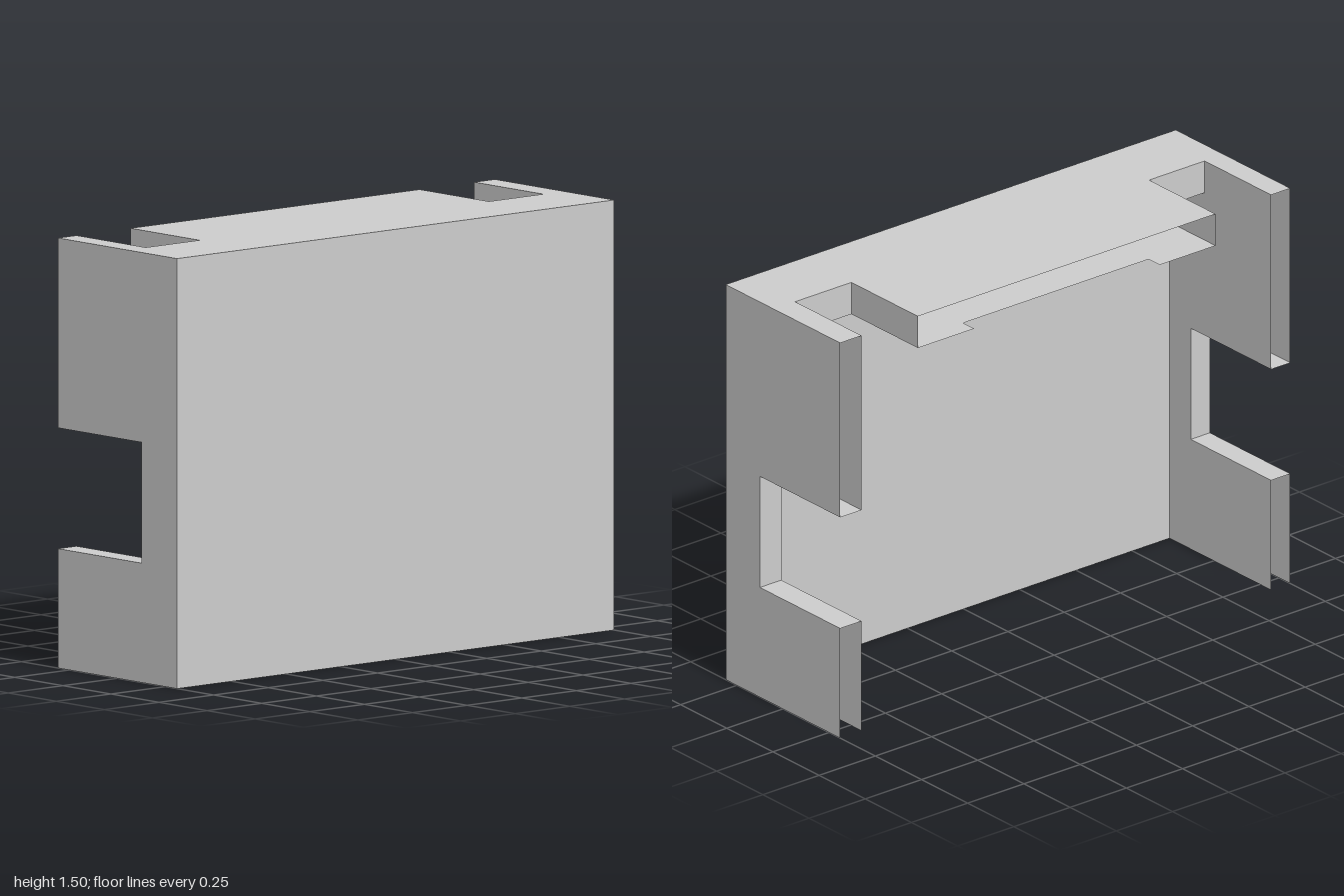
import * as THREE from 'three';

const material = new THREE.MeshStandardMaterial({
  color: 0xcccccc, flatShading: true, side: THREE.DoubleSide,
});

// Overall size, wall planes and cut-outs
const H = 1.495, CEILING = 1.375;
const FRONT = 0.31, BACK = -0.31, INNER_FRONT = 0.24;
const SLOT_Z = 0.05;                                  // depth of the top slots
const NOTCH_Z = 0.125, NOTCH_LOW = 0.415, NOTCH_HIGH = 0.835;
const sides = [
  { name: 'left', outer: 1, inner: 0.905, tongue: 0.655 },
  { name: 'right', outer: -1, inner: -0.915, tongue: -0.668 },
];
const [L, R] = sides;

// Ways to lay a flat outline (u, v) in space at offset w
const onX = (u, v, w) => [w, v, u];   // outline in (z, y)
const onY = (u, v, w) => [u, w, v];   // outline in (x, z)
const onZ = (u, v, w) => [u, v, w];   // outline in (x, y)

function remap(geometry, place) {
  const p = geometry.attributes.position;
  for (let i = 0; i < p.count; i++) p.setXYZ(i, ...place(p.getX(i), p.getY(i), p.getZ(i)));
  geometry.computeVertexNormals();
  return geometry;
}

// Flat sheet; flip turns its face the other way
function sheet(name, outline, layout, w, flip = false) {
  const shape = new THREE.Shape(outline.map(([u, v]) => new THREE.Vector2(u, v)));
  const geometry = new THREE.ShapeGeometry(shape);
  if (flip) geometry.setIndex(Array.from(geometry.index.array).reverse());
  const mesh = new THREE.Mesh(remap(geometry, (u, v) => layout(u, v, w)), material);
  mesh.name = name;
  return mesh;
}

// Rim along an open path, joining offsets w0 and w1
function rim(name, path, layout, w0, w1) {
  const group = new THREE.Group();
  group.name = name;
  for (let i = 0; i + 1 < path.length; i++) {
    const [a, b] = [path[i], path[i + 1]];
    const geometry = remap(new THREE.PlaneGeometry(1, 1), (x, y) => {
      const s = x + 0.5;
      return layout(a[0] + (b[0] - a[0]) * s, a[1] + (b[1] - a[1]) * s, w0 + (w1 - w0) * (y + 0.5));
    });
    group.add(new THREE.Mesh(geometry, material));
  }
  return group;
}

export function createModel() {
  const model = new THREE.Group();
  model.name = 'hollowCover';

  // Front panel, outside and inside skins
  model.add(sheet('frontOuterSkin', [[-1, 0], [1, 0], [1, H], [-1, H]], onZ, FRONT));
  model.add(sheet('frontInnerSkin',
    [[R.inner, 0], [L.inner, 0], [L.inner, CEILING], [R.inner, CEILING]], onZ, INNER_FRONT, true));

  // Top panel with a slot on each side of the tongue
  const slotted = ({ inner, tongue }) => [[inner, SLOT_Z], [tongue, SLOT_Z], [tongue, BACK]];
  model.add(sheet('topOuterSkin', [
    [-1, FRONT], [1, FRONT], [1, BACK], [L.inner, BACK], ...slotted(L),
    ...slotted(R).reverse(), [R.inner, BACK], [-1, BACK],
  ], onY, H));

  // Ceiling, with a shallow recess in the middle of its back edge
  const recess = BACK + 0.06;
  model.add(sheet('topInnerSkin', [
    [R.inner, INNER_FRONT], [L.inner, INNER_FRONT], ...slotted(L),
    [0.405, BACK], [0.405, recess], [-0.42, recess], [-0.42, BACK],
    ...slotted(R).reverse(),
  ], onY, CEILING, true));

  // Side panels with a notch open to the back
  const notch = [[BACK, NOTCH_HIGH], [NOTCH_Z, NOTCH_HIGH], [NOTCH_Z, NOTCH_LOW], [BACK, NOTCH_LOW]];
  for (const side of sides) {
    const isRight = side.outer < 0;
    model.add(sheet(side.name + 'OuterSkin',
      [[FRONT, 0], [FRONT, H], [BACK, H], ...notch, [BACK, 0]], onX, side.outer, isRight));
    model.add(sheet(side.name + 'InnerSkin', [
      [INNER_FRONT, 0], [INNER_FRONT, CEILING], [SLOT_Z, CEILING], [SLOT_Z, H],
      [BACK, H], ...notch, [BACK, 0],
    ], onX, side.inner, !isRight));
    model.add(rim(side.name + 'NotchRim', notch, onX, side.inner, side.outer));
    model.add(rim(side.name + 'SlotRim', slotted(side), onY, CEILING, H));
  }
  return model;
}
